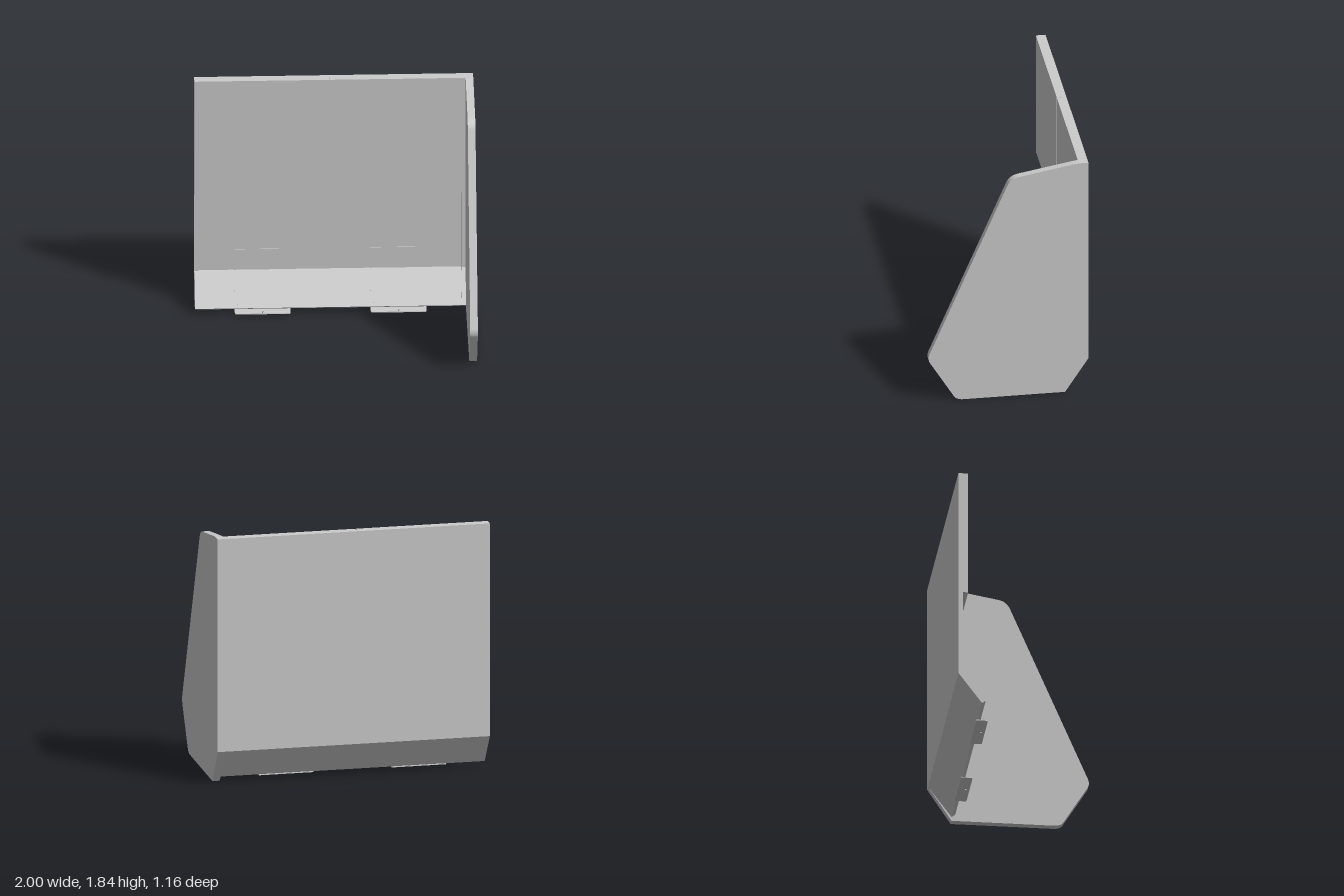
import * as THREE from 'three';

const grey = new THREE.MeshStandardMaterial({ color: 0xcccccc, flatShading: true });

// Extrude a shape drawn in (-z, y) along x, from x0 to x1
function slab(name, shape, x0, x1) {
  const geo = new THREE.ExtrudeGeometry(shape, { depth: x1 - x0, bevelEnabled: false, curveSegments: 8 });
  geo.rotateY(Math.PI / 2).translate(x0, 0, 0);
  const mesh = new THREE.Mesh(geo, grey);
  mesh.name = name;
  return mesh;
}

// Straight-edged shape from [z, y] points
function polygon(points) {
  return new THREE.Shape(points.map(([z, y]) => new THREE.Vector2(-z, y)));
}

function box(name, x0, x1, y0, y1, z0, z1) {
  const mesh = new THREE.Mesh(new THREE.BoxGeometry(x1 - x0, y1 - y0, z1 - z0), grey);
  mesh.position.set((x0 + x1) / 2, (y0 + y1) / 2, (z0 + z1) / 2);
  mesh.name = name;
  return mesh;
}

// Side panel outline with three rounded front corners
function sideOutline() {
  const s = new THREE.Shape();
  s.moveTo(0.58, 1.84);
  s.lineTo(0.58, 0.26);
  s.lineTo(0.41, 0);
  s.lineTo(-0.33, 0);
  s.quadraticCurveTo(-0.38, 0, -0.4, 0.035);
  s.lineTo(-0.57, 0.31);
  s.quadraticCurveTo(-0.59, 0.345, -0.572, 0.385);
  s.lineTo(-0.01, 1.7);
  s.quadraticCurveTo(0.015, 1.755, 0.075, 1.765);
  s.lineTo(0.47, 1.835);
  s.lineTo(0.51, 1.84);
  return s;
}

// Point on the sloped sheet: t runs down the slope, n stands out from it
const TOP = [-0.58, 0.26], LOW = [-0.41, 0.03];
const LEN = Math.hypot(LOW[0] - TOP[0], LOW[1] - TOP[1]);
const DZ = (LOW[0] - TOP[0]) / LEN, DY = (LOW[1] - TOP[1]) / LEN;
const onSlope = (t, n) => [TOP[0] + DZ * t - DY * n, TOP[1] + DY * t + DZ * n];

// Strip along wall and slope, lying n0..n1 in front of the back face
function bentStrip(yTop, n0, n1, tEnd) {
  const fold = n => [TOP[0] + n, TOP[1] + n * (1 + DY) / DZ];
  return polygon([[TOP[0] + n0, yTop], fold(n0), onSlope(tEnd, n0),
    onSlope(tEnd, n1), fold(n1), [TOP[0] + n1, yTop]]);
}

// Rectangle on the slope, t0..t1 by n0..n1
function slopeRect(t0, t1, n0, n1) {
  return polygon([onSlope(t0, n0), onSlope(t1, n0), onSlope(t1, n1), onSlope(t0, n1)]);
}

function bracket(xc) {
  const g = new THREE.Group();
  g.name = 'mountingBracket';
  g.add(slab('bracketPlate', bentStrip(0.43, 0.006, 0.01, LEN - 0.006), xc - 0.2, xc + 0.2));

  // Flat foot with rounded front corners and a bolt hole
  const s = new THREE.Shape(), w = 0.2, r = 0.015, z0 = -0.42, z1 = -0.335;
  s.moveTo(-w, z0);
  s.lineTo(w, z0);
  s.lineTo(w, z1 - r);
  s.quadraticCurveTo(w, z1, w - r, z1);
  s.lineTo(-w + r, z1);
  s.quadraticCurveTo(-w, z1, -w, z1 - r);
  const hole = new THREE.Path();
  hole.absarc(0, -0.362, 0.008, 0, Math.PI * 2, true);
  s.holes.push(hole);
  const geo = new THREE.ExtrudeGeometry(s, { depth: 0.006, bevelEnabled: false });
  geo.rotateX(Math.PI / 2);
  const foot = new THREE.Mesh(geo, grey);
  foot.position.set(xc, 0.031, 0);
  foot.name = 'bracketFoot';
  g.add(foot);

  // Screws through the sloped plate
  for (const dx of [-0.178, 0.178]) {
    for (const t of [0.055, 0.155, 0.25]) {
      const screw = new THREE.Mesh(new THREE.CylinderGeometry(0.004, 0.004, 0.004, 8), grey);
      const [z, y] = onSlope(t, 0.01);
      screw.position.set(xc + dx, y, z);
      screw.rotation.x = Math.atan2(-DY, DZ);
      screw.name = 'screw';
      g.add(screw);
    }
  }
  return g;
}

export function createModel() {
  const model = new THREE.Group();
  model.name = 'wallUnit';
  const L = -1, R = 0.945;

  model.add(slab('sidePanel', sideOutline(), R, 1));

  // Thin bent back sheet with a raised rim on both ends, top and bottom
  model.add(slab('backSheet', bentStrip(1.84, 0, 0.006, LEN), L, R));
  for (const x of [L, R - 0.03]) {
    model.add(slab('endRim', bentStrip(1.84, 0, 0.033, LEN), x, x + 0.03));
  }
  model.add(box('topRim', L, R, 1.81, 1.84, -0.58, -0.547));
  model.add(slab('bottomLip', slopeRect(LEN - 0.006, LEN, 0, 0.033), L + 0.03, R - 0.03));
  model.add(slab('bottomReturn', slopeRect(LEN - 0.02, LEN, 0.027, 0.033), L + 0.055, R - 0.06));

  // Two upper front panels with a narrow gap between
  model.add(box('upperPanelRight', L, -0.032, 0.9, 1.84, -0.547, -0.51));
  model.add(box('upperPanelLeft', -0.026, R, 0.9, 1.84, -0.547, -0.51));

  for (const xc of [-0.515, 0.46]) model.add(bracket(xc));
  return model;
}
